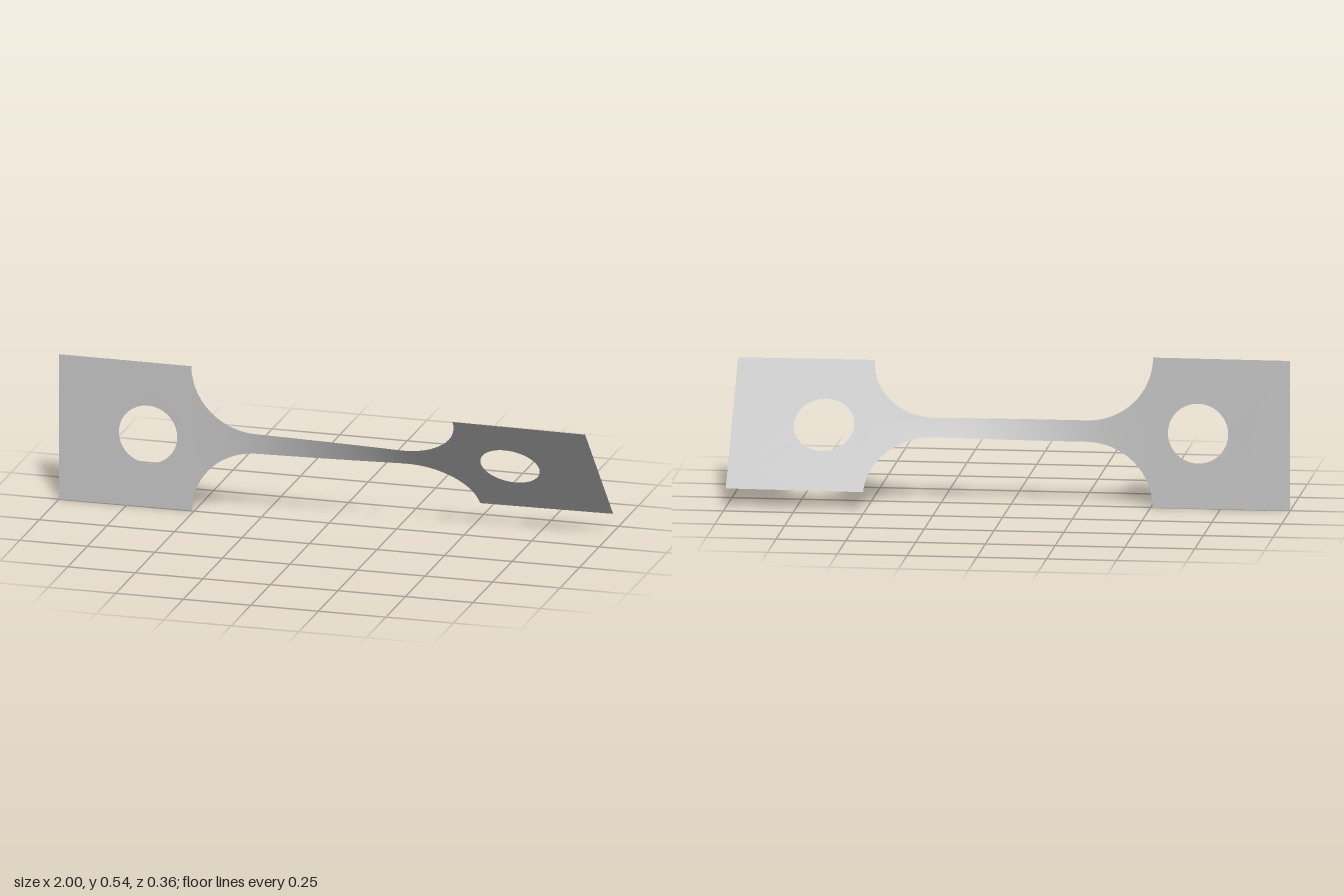
import * as THREE from 'three';

const HALF = 0.271;        // half width of the end tabs, also the height of the axis
const NECK = 0.038;        // half width of the narrow neck
const INNER = 0.508;       // where the tabs meet the fillets
const FILLET_X = 0.27;     // where the fillets meet the neck
const R = INNER - FILLET_X;

// Half width of the strip between the tabs
function halfWidth(x) {
  const t = Math.abs(x) - FILLET_X;
  if (t <= 0) return NECK;
  if (t >= R) return HALF;
  return NECK + (HALF - NECK) * (1 - Math.sqrt(1 - (t / R) ** 2));
}

// Twist accumulates quickly where the strip is narrow, slowly in the tabs
function accumulated(x) {
  const steps = 200, dx = Math.abs(x) / steps;
  let sum = 0;
  for (let i = 0; i < steps; i++) sum += dx * halfWidth((i + 0.5) * dx) ** -1.75;
  return Math.sign(x) * sum;
}
const TOTAL = accumulated(1);
const twist = (x) => THREE.MathUtils.degToRad(20.9 + 20.6 * accumulated(x) / TOTAL);

// Rotate every point of a flat sheet about the long axis
function twistSheet(geometry) {
  const p = geometry.attributes.position;
  for (let i = 0; i < p.count; i++) {
    const x = p.getX(i), y = p.getY(i), a = twist(x);
    p.setXYZ(i, x, HALF + y * Math.cos(a), y * Math.sin(a));
  }
  geometry.computeVertexNormals();
  return geometry;
}

// Square tab with a round hole
function tabGeometry(side) {
  const a = side * INNER, b = side;
  const shape = new THREE.Shape([
    new THREE.Vector2(a, -HALF), new THREE.Vector2(b, -HALF),
    new THREE.Vector2(b, HALF), new THREE.Vector2(a, HALF),
  ]);
  const hole = new THREE.Path();
  hole.absarc(side * 0.67, 0, 0.108, 0, Math.PI * 2, true);
  shape.holes.push(hole);
  return twistSheet(new THREE.ShapeGeometry(shape, 32));
}

// Neck with its fillets; columns crowd together towards the steep ends
function neckGeometry() {
  const geometry = new THREE.PlaneGeometry(2, 2, 96, 8);
  const p = geometry.attributes.position;
  for (let i = 0; i < p.count; i++) {
    const x = INNER * Math.sin(p.getX(i) * Math.PI / 2);
    p.setXY(i, x, p.getY(i) * halfWidth(x));
  }
  return twistSheet(geometry);
}

export function createModel() {
  const group = new THREE.Group();
  group.name = 'twistedStrip';
  const metal = new THREE.MeshStandardMaterial({ color: 0xc0c0c0, side: THREE.DoubleSide });
  metal.name = 'lightGrey';

  const add = (name, geometry) => {
    const mesh = new THREE.Mesh(geometry, metal);
    mesh.name = name;
    group.add(mesh);
  };
  add('twistedNeck', neckGeometry());
  add('leftTab', tabGeometry(1));
  add('rightTab', tabGeometry(-1));
  return group;
}
